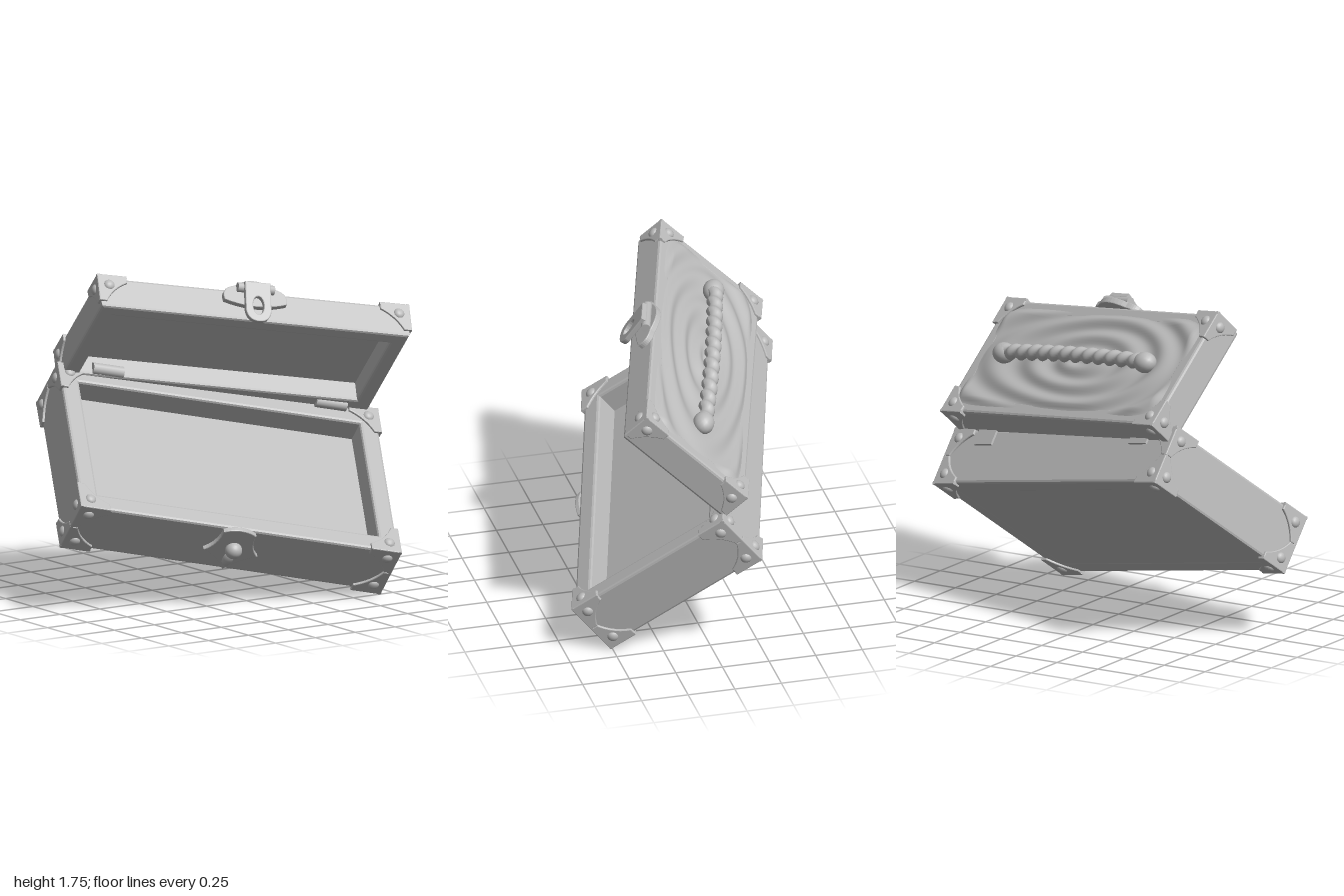
import * as THREE from 'three';

const grey = new THREE.MeshStandardMaterial({ color: 0xb9b9b9 });
grey.name = 'grey';

function add(parent, geometry, name, x = 0, y = 0, z = 0) {
  const mesh = new THREE.Mesh(geometry, grey);
  mesh.name = name;
  mesh.position.set(x, y, z);
  parent.add(mesh);
  return mesh;
}

// Group whose local axes follow a given width axis and height axis
function frame(name, xAxis, yAxis, position) {
  const x = new THREE.Vector3(...xAxis).normalize();
  const z = x.clone().cross(new THREE.Vector3(...yAxis)).normalize();
  const y = z.clone().cross(x);
  const group = new THREE.Group();
  group.name = name;
  group.quaternion.setFromRotationMatrix(new THREE.Matrix4().makeBasis(x, y, z));
  group.position.set(...position);
  return group;
}

function rect(path, w, d) {
  path.moveTo(-w / 2, -d / 2);
  path.lineTo(w / 2, -d / 2);
  path.lineTo(w / 2, d / 2);
  path.lineTo(-w / 2, d / 2);
  path.closePath();
  return path;
}

function plate(shape, depth, bevel = 0.005) {
  return new THREE.ExtrudeGeometry(shape, {
    depth, bevelEnabled: true, bevelThickness: bevel, bevelSize: bevel,
    bevelOffset: -bevel, bevelSegments: 2, curveSegments: 10,
  });
}

// Open box: a bevelled frame of walls and a panel, open towards +y
function tray(name, w, h, d, wall, inside) {
  const group = new THREE.Group();
  group.name = name;
  const outline = rect(new THREE.Shape(), w, d);
  outline.holes.push(rect(new THREE.Path(), w - 2 * wall, d - 2 * wall));
  const b = 0.014;
  const walls = plate(outline, h - 2 * b, b);
  walls.rotateX(-Math.PI / 2);
  walls.translate(0, -h / 2 + b, 0);
  add(group, walls, name + 'Walls');
  const t = h - inside;
  add(group, new THREE.BoxGeometry(w - 2 * wall + 0.05, t - 0.002, d - 2 * wall + 0.05),
    name + 'Panel', 0, -h / 2 + t / 2 + 0.001, 0);
  return group;
}

// Three curved plates with rivets meeting at one corner
function cornerBracket(size) {
  const group = new THREE.Group();
  group.name = 'cornerBracket';
  const o = 0.012;
  const shape = new THREE.Shape();
  shape.moveTo(o, o);
  shape.lineTo(-size, o);
  shape.lineTo(-size, -0.03);
  shape.quadraticCurveTo(-0.07, -0.07, -0.03, -size);
  shape.lineTo(o, -size);
  shape.closePath();
  const geometry = plate(shape, 0.01);
  const axis = new THREE.Vector3(1, 1, 1).normalize();
  for (let i = 0; i < 3; i++) {
    const side = new THREE.Group();
    side.name = 'bracketSide';
    side.quaternion.setFromAxisAngle(axis, i * Math.PI * 2 / 3);
    add(side, geometry, 'bracketPlate', 0, 0, -0.003);
    const rivet = add(side, new THREE.SphereGeometry(0.03, 14, 10), 'rivet', -0.05, -0.05, 0.006);
    rivet.scale.z = 0.7;
    group.add(side);
  }
  return group;
}

function addBrackets(parent, w, h, d, size, levels) {
  for (const flip of levels) {
    for (let k = 0; k < 4; k++) {
      const bracket = cornerBracket(size);
      bracket.rotation.set(flip ? Math.PI : 0, k * Math.PI / 2, 0, 'YXZ');
      bracket.position.set(1, 1, 1).applyEuler(bracket.rotation)
        .multiply(new THREE.Vector3(w / 2, h / 2, d / 2));
      parent.add(bracket);
    }
  }
}

// Carved wood grain rippling outwards in ovals
function grainPanel(w, d) {
  const g = new THREE.PlaneGeometry(w, d, 110, 48);
  g.rotateX(-Math.PI / 2);
  const p = g.attributes.position;
  for (let i = 0; i < p.count; i++) {
    const x = p.getX(i), z = p.getZ(i);
    const r = Math.hypot(x / 2.5, z);
    const edge = Math.min(1, (w / 2 - Math.abs(x)) / 0.04, (d / 2 - Math.abs(z)) / 0.04);
    const ripple = 0.012 + 0.011 * Math.sin(r * 58 + 0.8 * Math.sin(x * 5) - 1.2);
    p.setY(i, edge * ripple - 0.002);
  }
  g.computeVertexNormals();
  return g;
}

// Twisted rope bar with a gentle arch
function ropeBar(length, radius) {
  const g = new THREE.CylinderGeometry(radius, radius, length, 20, 150);
  g.rotateZ(Math.PI / 2);
  const p = g.attributes.position;
  for (let i = 0; i < p.count; i++) {
    const x = p.getX(i), y = p.getY(i), z = p.getZ(i);
    const s = 1 + 0.2 * Math.sin(Math.atan2(z, y) + x * 70);
    p.setXYZ(i, x, y * s + 0.02 * Math.cos(x * Math.PI / length), z * s);
  }
  g.computeVertexNormals();
  return g;
}

export function createModel() {
  const model = new THREE.Group();
  model.name = 'openChest';

  // Base
  const W = 1.76, H = 0.31, D = 0.98;
  const base = frame('base', [0.94, -0.2, 0.28], [-0.03, 0.77, 0.63], [-0.005, 0.605, 0.005]);
  base.add(tray('baseTray', W, H, D, 0.1, 0.13));
  addBrackets(base, W, H, D, 0.155, [false, true]);

  // Lock plate and knob on the front of the base
  const shield = new THREE.Shape();
  shield.moveTo(0, -0.15);
  shield.quadraticCurveTo(0.05, -0.07, 0.15, -0.02);
  shield.quadraticCurveTo(0.09, 0.03, 0.09, 0.13);
  shield.quadraticCurveTo(0, 0.18, -0.09, 0.13);
  shield.quadraticCurveTo(-0.09, 0.03, -0.15, -0.02);
  shield.quadraticCurveTo(-0.05, -0.07, 0, -0.15);
  add(base, plate(shield, 0.018), 'lockPlate', 0, 0.01, D / 2);
  add(base, new THREE.SphereGeometry(0.045, 18, 12), 'lockKnob', 0, 0.03, D / 2 + 0.04);
  const drop = add(base, new THREE.SphereGeometry(0.03, 14, 10), 'lockDrop', 0, -0.05, D / 2 + 0.02);
  drop.scale.y = 1.8;

  // Hinges along the back edge
  for (const x of [-0.62, 0.62]) {
    const pin = add(base, new THREE.CylinderGeometry(0.032, 0.032, 0.17, 14), 'hingePin', x, H / 2 + 0.02, -D / 2 + 0.01);
    pin.rotation.z = Math.PI / 2;
    add(base, new THREE.BoxGeometry(0.14, 0.1, 0.02), 'hingeLeaf', x, H / 2 - 0.04, -D / 2 - 0.002);
  }
  model.add(base);

  // Lid, open towards its local -y
  const w = 1.69, h = 0.18, d = 0.71;
  const lid = frame('lid', [0.943, -0.154, 0.296], [0.314, 0.707, -0.634], [0.13, 1.288, -0.063]);
  const lidTray = tray('lidTray', w, h, d, 0.085, 0.11);
  lidTray.rotation.x = Math.PI;
  lid.add(lidTray);
  addBrackets(lid, w, h, d, 0.15, [false]);
  add(lid, grainPanel(w - 0.08, d - 0.08), 'woodGrain', 0, h / 2, 0);

  // Handle
  const bar = 1.14;
  add(lid, ropeBar(bar, 0.037), 'ropeHandle', 0.01, h / 2 + 0.05, 0);
  for (const s of [-1, 1]) {
    const knob = add(lid, new THREE.SphereGeometry(0.056, 18, 12), 'handleEnd', 0.01 + s * bar / 2, h / 2 + 0.04, 0);
    knob.scale.x = 1.2;
  }

  // Hasp: back plate with a hanging loop
  const back = new THREE.Shape();
  back.moveTo(-0.17, 0.0);
  back.quadraticCurveTo(-0.19, 0.07, -0.11, 0.09);
  back.quadraticCurveTo(0, 0.17, 0.11, 0.09);
  back.quadraticCurveTo(0.19, 0.07, 0.17, 0.0);
  back.quadraticCurveTo(0, -0.06, -0.17, 0.0);
  add(lid, plate(back, 0.025), 'haspPlate', 0, 0.01, d / 2);
  const loop = new THREE.Shape();
  loop.moveTo(-0.07, 0.1);
  loop.lineTo(-0.07, -0.06);
  loop.quadraticCurveTo(-0.06, -0.12, 0, -0.12);
  loop.quadraticCurveTo(0.06, -0.12, 0.07, -0.06);
  loop.lineTo(0.07, 0.1);
  loop.closePath();
  const slot = new THREE.Path();
  slot.absellipse(0, -0.03, 0.03, 0.05, 0, Math.PI * 2, true);
  loop.holes.push(slot);
  const hasp = add(lid, plate(loop, 0.02), 'haspLoop', 0, 0, d / 2 + 0.045);
  hasp.rotation.x = 0.2;
  const pin = add(lid, new THREE.CylinderGeometry(0.025, 0.025, 0.2, 12), 'haspPin', 0, 0.08, d / 2 + 0.045);
  pin.rotation.z = Math.PI / 2;
  model.add(lid);

  return model;
}
